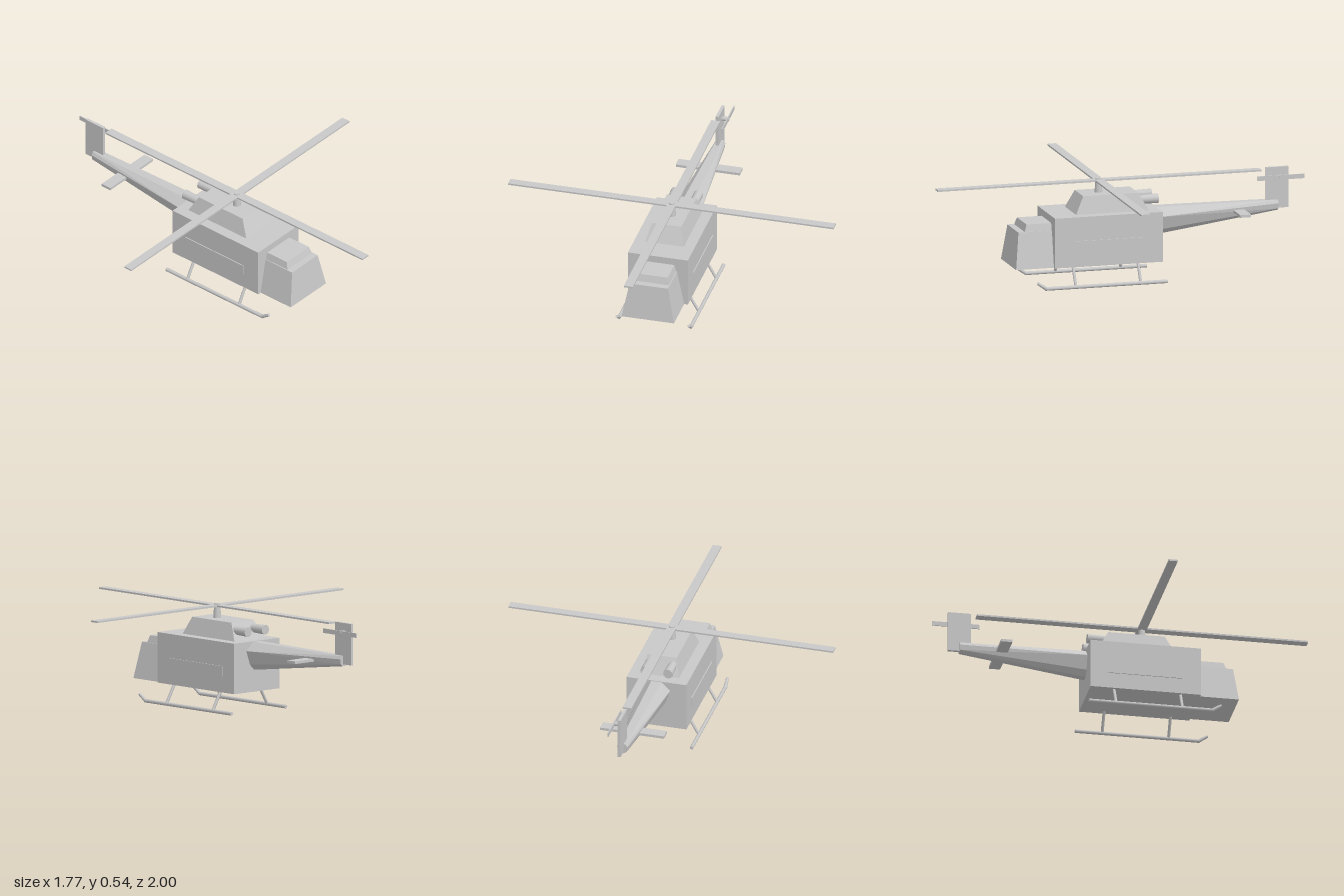
import * as THREE from 'three';
import { ConvexGeometry } from 'three/addons/geometries/ConvexGeometry.js';

export function createModel() {
  const model = new THREE.Group();
  const grey = new THREE.MeshStandardMaterial({ color: 0xc8c8c8 });
  grey.name = 'lightGrey';

  function add(name, geometry, parent = model) {
    const mesh = new THREE.Mesh(geometry, grey);
    mesh.name = name;
    parent.add(mesh);
    return mesh;
  }

  // Box given by its limits on each axis
  function box(name, [x0, x1], [y0, y1], [z0, z1], parent) {
    const mesh = add(name, new THREE.BoxGeometry(x1 - x0, y1 - y0, z1 - z0), parent);
    mesh.position.set((x0 + x1) / 2, (y0 + y1) / 2, (z0 + z1) / 2);
    return mesh;
  }

  // Block with sloping sides between two level rectangles: [halfWidth, y, zBack, zFront]
  function taper(name, ...levels) {
    const points = [];
    for (const [w, y, z0, z1] of levels)
      for (const x of [-w, w])
        for (const z of [z0, z1]) points.push(new THREE.Vector3(x, y, z));
    return add(name, new ConvexGeometry(points));
  }

  // Round bar between two points
  function rod(name, a, b, r0, r1 = r0, sides = 10, parent = model) {
    const from = new THREE.Vector3(...a), to = new THREE.Vector3(...b);
    const dir = to.clone().sub(from);
    const mesh = add(name, new THREE.CylinderGeometry(r1, r0, dir.length(), sides), parent);
    mesh.position.copy(from).add(to).multiplyScalar(0.5);
    mesh.quaternion.setFromUnitVectors(new THREE.Vector3(0, 1, 0), dir.normalize());
    return mesh;
  }

  // Cabin, stepped nose and engine cowling
  box('cabin', [-0.163, 0.163], [0.11, 0.378], [-0.19, 0.4]);
  taper('nose', [0.143, 0.11, 0.39, 0.607], [0.104, 0.302, 0.39, 0.583]);
  taper('cockpitRoof', [0.1, 0.3, 0.39, 0.548], [0.09, 0.34, 0.39, 0.535]);
  taper('engineCowling', [0.105, 0.378, -0.13, 0.268], [0.08, 0.47, -0.08, 0.222]);

  // Tail boom, tapering from the cabin to the fin
  const boomPoints = [];
  const boomSections = [
    { z: -0.18, rim: [[0.028, 0.375], [0.076, 0.33], [0.05, 0.255], [0.02, 0.225]] },
    { z: -0.862, rim: [[0.018, 0.37], [0.028, 0.353], [0.024, 0.325], [0.01, 0.315]] },
  ];
  for (const { z, rim } of boomSections)
    for (const [x, y] of rim)
      for (const s of [-1, 1]) boomPoints.push(new THREE.Vector3(s * x, y, z));
  add('tailBoom', new ConvexGeometry(boomPoints));
  box('tailFin', [-0.008, 0.008], [0.325, 0.545], [-0.922, -0.8]);
  box('stabiliser', [-0.174, 0.174], [0.322, 0.336], [-0.67, -0.61]);

  // Tail rotor on the left of the fin
  rod('tailRotorHub', [0, 0.495, -0.873], [0.045, 0.495, -0.873], 0.012);
  box('tailRotorBlade', [0.037, 0.042], [0.483, 0.507], [-1, -0.745]);

  // Main rotor
  rod('rotorMast', [0, 0.465, 0.115], [0, 0.545, 0.115], 0.022, 0.016, 12);
  box('crossBlade', [-0.885, 0.885], [0.53, 0.539], [0.09, 0.138]);
  box('lengthBlade', [-0.024, 0.024], [0.53, 0.539], [-0.77, 1]);

  // Parts that repeat on both sides
  for (const s of [-1, 1]) {
    const side = s > 0 ? 'left' : 'right';
    const x = s * 0.165;
    box(side + 'SidePanel', [x - 0.003, x + 0.003], [0.195, 0.25], [-0.1, 0.3]);

    rod(side + 'Exhaust', [s * 0.062, 0.43, -0.06], [s * 0.062, 0.43, -0.19], 0.022, 0.026, 12);

    const skid = new THREE.Group();
    skid.name = side + 'Skid';
    model.add(skid);
    rod('runner', [s * 0.195, 0.011, -0.205], [s * 0.195, 0.011, 0.46], 0.01, 0.01, 8, skid);
    rod('runnerTip', [s * 0.195, 0.011, 0.455], [s * 0.195, 0.042, 0.503], 0.01, 0.008, 8, skid);
    for (const z of [0.295, -0.06])
      rod('strut', [s * 0.135, 0.118, z], [s * 0.195, 0.013, z], 0.008, 0.008, 8, skid);
  }

  return model;
}
